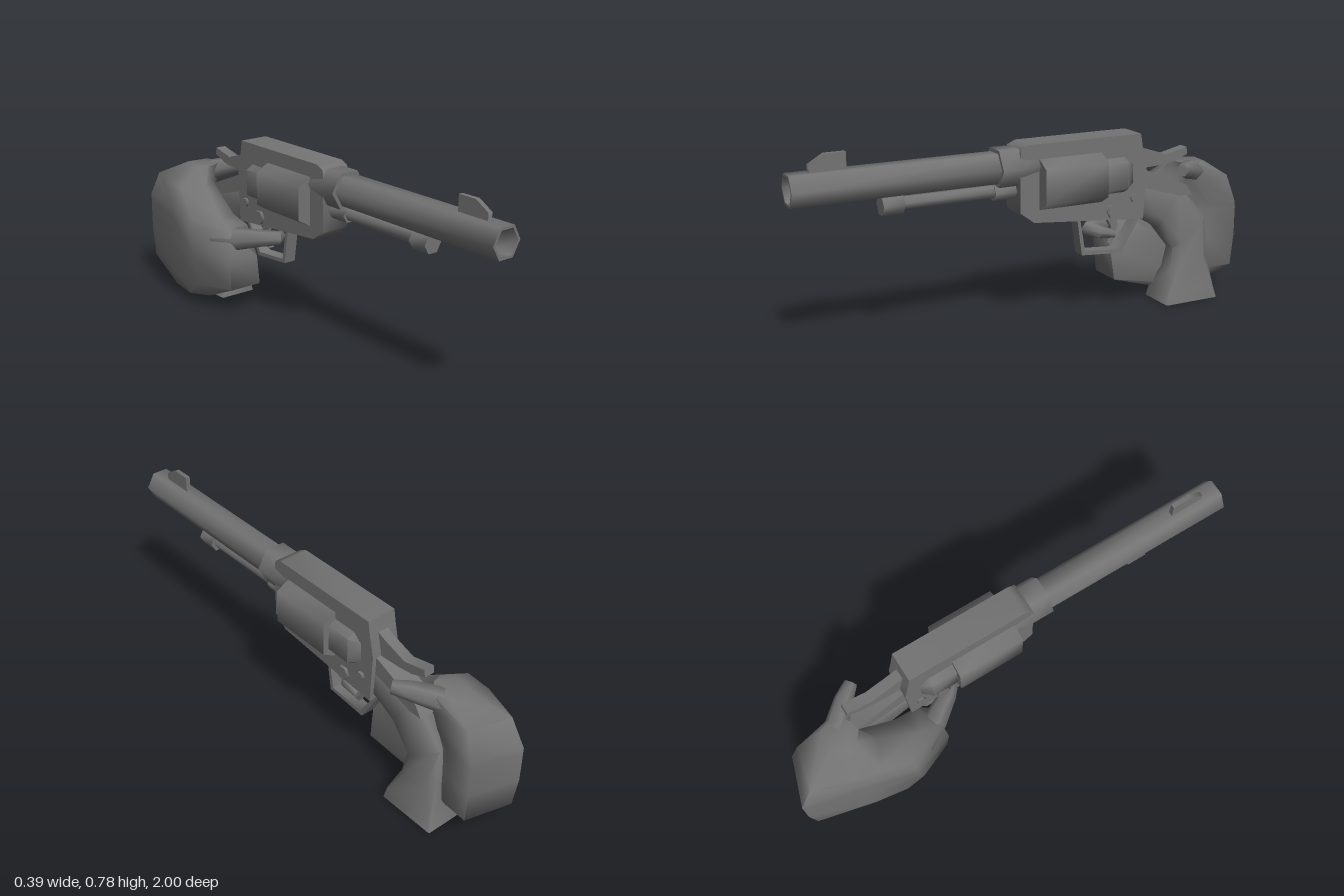
import * as THREE from 'three';
import { toCreasedNormals } from 'three/addons/utils/BufferGeometryUtils.js';

const CX = 0.063; // centre plane of the gun
const V = (x, y, z) => new THREE.Vector3(x, y, z);

export function createModel() {
  const model = new THREE.Group();
  const material = new THREE.MeshStandardMaterial({ color: 0x737373, side: THREE.DoubleSide });

  function add(name, geometry, x = 0, y = 0, z = 0, crease = 1.1) {
    const mesh = new THREE.Mesh(toCreasedNormals(geometry, crease), material);
    mesh.name = name;
    mesh.position.set(x, y, z);
    model.add(mesh);
  }

  // Side profile of [z, y] points, extruded across x and centred
  function slab(points, width, hole) {
    const shape = new THREE.Shape(points.map(([z, y]) => new THREE.Vector2(z, y)));
    if (hole) shape.holes.push(new THREE.Path(hole.map(([z, y]) => new THREE.Vector2(z, y))));
    return new THREE.ExtrudeGeometry(shape, { depth: width, bevelEnabled: false })
      .translate(0, 0, -width / 2).rotateY(-Math.PI / 2);
  }

  // Hexagonal turned part along z from [radius, z] points
  function turned(profile, turn = Math.PI / 6) {
    return new THREE.LatheGeometry(profile.map(([r, z]) => new THREE.Vector2(r, z)), 6)
      .rotateY(turn).rotateX(Math.PI / 2);
  }
  const rod = (r, z0, z1) => turned([[0, z0], [r, z0], [r, z1], [0, z1]]);

  // Skin over closed rings of points, capped at both ends
  function loft(rings) {
    const n = rings[0].length;
    const pts = rings.flat();
    const index = [];
    for (let i = 0; i < rings.length - 1; i++) {
      for (let j = 0; j < n; j++) {
        const a = i * n + j, b = i * n + (j + 1) % n;
        index.push(a, b, b + n, a, b + n, a + n);
      }
    }
    const last = (rings.length - 1) * n;
    for (let j = 1; j < n - 1; j++) index.push(0, j + 1, j, last, last + j, last + j + 1);
    // Turn the faces outward if the enclosed volume is negative
    let volume = 0;
    for (let i = 0; i < index.length; i += 3) {
      volume += pts[index[i]].dot(V().copy(pts[index[i + 1]]).cross(pts[index[i + 2]]));
    }
    if (volume < 0) index.reverse();
    const g = new THREE.BufferGeometry().setFromPoints(pts);
    g.setIndex(index);
    return g;
  }

  // Finger-like limb: six-sided rings along a path with varying radius
  function limb(path, radii) {
    const rings = path.map((p, i) => {
      const dir = path[Math.min(i + 1, path.length - 1)].clone()
        .sub(path[Math.max(i - 1, 0)]).normalize();
      const side = V(0, 1, 0).cross(dir).normalize();
      const up = dir.clone().cross(side);
      return Array.from({ length: 6 }, (_, k) => p.clone()
        .addScaledVector(side, radii[i] * Math.cos(k * Math.PI / 3))
        .addScaledVector(up, radii[i] * Math.sin(k * Math.PI / 3)));
    });
    return loft(rings);
  }

  // Barrel with a recessed bore, its collar tapering into the frame, front sight
  add('barrel', turned([[0, 0.1], [0.067, 0.1], [0.067, 1], [0.056, 1], [0.056, 0.92], [0, 0.92]]), CX, 0.658);
  add('barrelCollar', turned([[0, 0.02], [0.072, 0.02], [0.083, 0.1], [0.083, 0.19], [0, 0.19]]), CX, 0.658);
  add('frontSight', slab([[0.92, 0.7], [0.92, 0.745], [0.86, 0.78], [0.78, 0.78], [0.78, 0.7]], 0.019), CX);

  // Ejector rod below the barrel
  add('ejectorRod', rod(0.027, 0.1, 0.6), CX, 0.565);
  add('ejectorTip', rod(0.041, 0.572, 0.655), CX, 0.563);
  add('ejectorBase', rod(0.034, 0.1, 0.2), CX, 0.56);

  // Frame
  add('frame', slab([
    [0.11, 0.48], [0.11, 0.7], [0.105, 0.73], [0.07, 0.745], [-0.43, 0.745],
    [-0.44, 0.69], [-0.46, 0.6], [-0.45, 0.39], [0.05, 0.435],
  ], 0.125), CX);

  // Cylinder and recoil shield bulging from both sides of the frame
  add('cylinder', turned([[0, -0.25], [0.137, -0.25], [0.137, 0.028], [0, 0.028]], 0), CX, 0.585);
  add('recoilShield', turned([
    [0, -0.395], [0.075, -0.395], [0.108, -0.355], [0.108, -0.25], [0, -0.25],
  ], 0), CX, 0.585);

  // Screws on both sides
  for (const [r, y, z] of [[0.03, 0.44, -0.305], [0.018, 0.484, -0.402]]) {
    add('screw', new THREE.CylinderGeometry(r, r, 0.148, 6).rotateZ(Math.PI / 2), CX, y, z);
  }

  // Hammer with raised spur, and the tang below it
  add('hammer', slab([
    [-0.42, 0.695], [-0.48, 0.67], [-0.58, 0.637], [-0.68, 0.66], [-0.685, 0.63],
    [-0.62, 0.605], [-0.55, 0.595], [-0.43, 0.59],
  ], 0.045), CX);
  add('tang', slab([
    [-0.43, 0.605], [-0.5, 0.575], [-0.67, 0.505], [-0.7, 0.46], [-0.6, 0.46], [-0.43, 0.52],
  ], 0.09), CX);

  // Trigger guard and trigger
  add('triggerGuard', slab(
    [[-0.16, 0.425], [-0.185, 0.26], [-0.37, 0.245], [-0.47, 0.41]], 0.053,
    [[-0.175, 0.415], [-0.2, 0.275], [-0.36, 0.262], [-0.445, 0.4]]), CX);
  add('trigger', slab([
    [-0.29, 0.43], [-0.33, 0.36], [-0.31, 0.29], [-0.335, 0.29], [-0.36, 0.36], [-0.35, 0.43],
  ], 0.022), CX);

  // Grip: sections [front z, front y, back z, back y, half width, squareness],
  // rounded at the top and square at the butt
  add('grip', loft([
    [-0.43, 0.4, -0.44, 0.55, 0.046, 0], [-0.54, 0.335, -0.65, 0.495, 0.046, 0],
    [-0.625, 0.23, -0.785, 0.35, 0.046, 0], [-0.61, 0.14, -0.79, 0.19, 0.056, 0.2],
    [-0.575, 0.05, -0.81, 0.05, 0.077, 0.8], [-0.567, 0, -0.82, 0, 0.084, 0.95],
  ].map(([fz, fy, bz, by, w, q]) => {
    const f = 0.5 + 0.5 * q, c = 0.2 * (1 - q);
    return [[0, f], [0, -f], [c, -1], [1 - c, -1], [1, -f], [1, f], [1 - c, 1], [c, 1]]
      .map(([t, s]) => V(CX + s * w, fy + (by - fy) * t, fz + (bz - fz) * t));
  })));

  // Hand wrapped around the grip: level sections of [x, z] corners, from the
  // inner fingers round the knuckles to the wrist, palm and hollow of the hand
  add('hand', loft([
    [0.05, [[0, -0.56], [-0.12, -0.52], [-0.17, -0.6], [-0.15, -0.74], [-0.1, -0.86], [0.02, -0.84], [0.03, -0.76], [0.005, -0.65]]],
    [0.115, [[0.04, -0.37], [-0.11, -0.37], [-0.175, -0.52], [-0.165, -0.74], [-0.11, -0.98], [0.085, -0.93], [0.08, -0.82], [0.015, -0.64]]],
    [0.25, [[0.02, -0.36], [-0.12, -0.36], [-0.19, -0.54], [-0.17, -0.73], [-0.11, -1], [0.09, -0.94], [0.08, -0.82], [0.015, -0.66]]],
    [0.375, [[0.015, -0.42], [-0.1, -0.38], [-0.2, -0.55], [-0.17, -0.73], [-0.11, -1], [0.09, -0.94], [0.085, -0.82], [0.02, -0.66]]],
    [0.405, [[0, -0.5], [-0.09, -0.46], [-0.178, -0.56], [-0.165, -0.73], [-0.11, -1], [0.09, -0.935], [0.085, -0.8], [0.02, -0.66]]],
    [0.515, [[0.02, -0.69], [-0.06, -0.62], [-0.157, -0.67], [-0.15, -0.78], [-0.1, -0.94], [0.075, -0.9], [0.09, -0.74], [0.05, -0.71]]],
    [0.585, [[0.03, -0.68], [-0.01, -0.67], [-0.05, -0.7], [-0.05, -0.74], [-0.03, -0.8], [0.06, -0.79], [0.09, -0.73], [0.06, -0.7]]],
  ].map(([y, corners]) => corners.map(([x, z]) => V(x, y, z)))), 0, 0, 0, 1.45);

  // Thumb over the web of the hand, index finger curled inside the guard
  add('thumb', limb(
    [V(0.02, 0.53, -0.79), V(0.07, 0.555, -0.72), V(0.125, 0.575, -0.66), V(0.168, 0.582, -0.605)],
    [0.045, 0.045, 0.038, 0.026]));
  add('indexFinger', limb(
    [V(-0.11, 0.33, -0.48), V(-0.06, 0.335, -0.385), V(0, 0.35, -0.29), V(0.045, 0.355, -0.24), V(0.08, 0.345, -0.275), V(0.085, 0.33, -0.34)],
    [0.055, 0.05, 0.036, 0.031, 0.028, 0.016]));

  return model;
}
